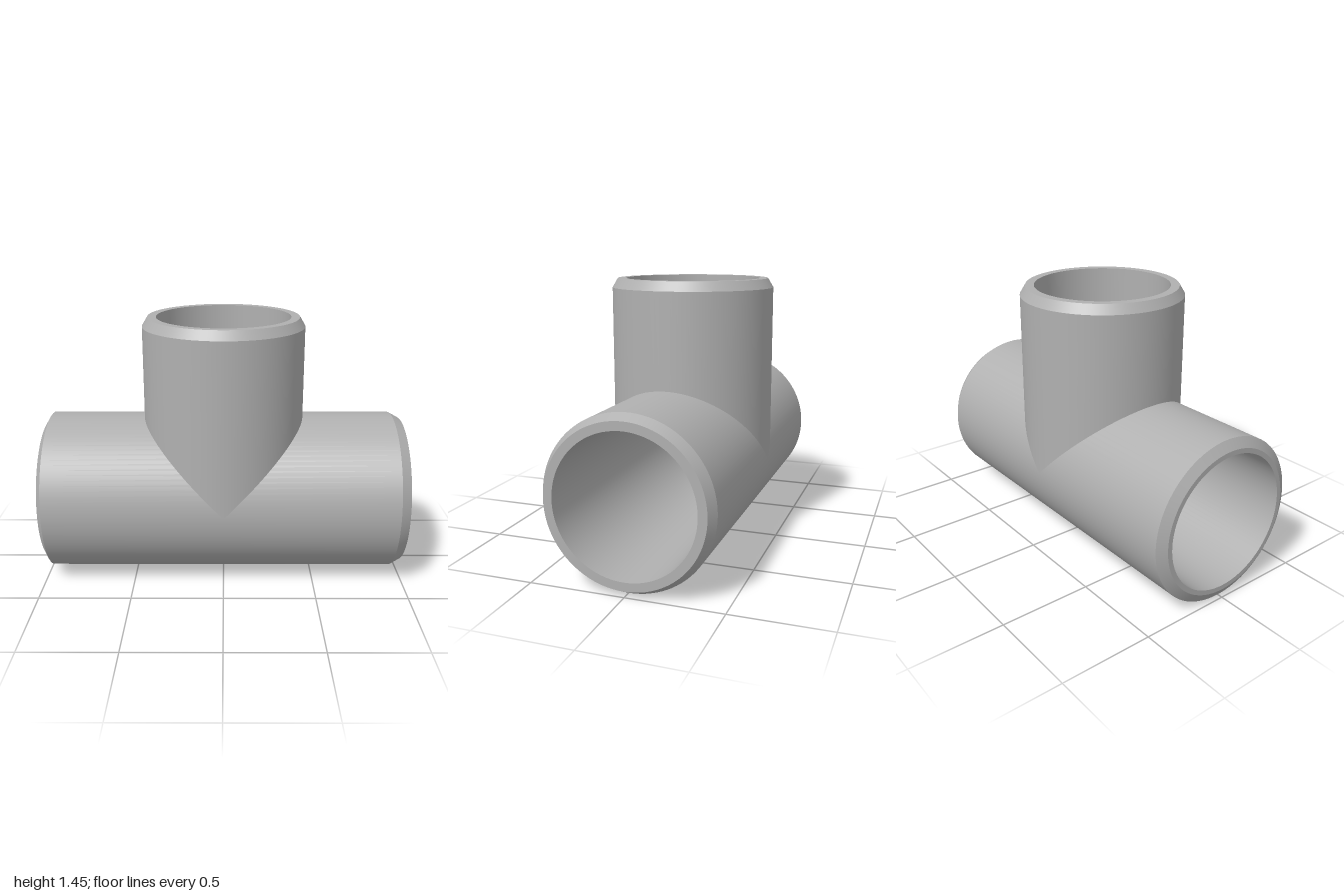
import * as THREE from 'three';
import { mergeGeometries } from 'three/addons/utils/BufferGeometryUtils.js';

const OUTER = 0.4425, INNER = 0.366, AXIS_Y = 0.4425, SIDES = 96;

// Revolve each profile segment on its own so the edges between bands stay crisp.
function crispLathe(profile) {
  const bands = [];
  for (let i = 0; i < profile.length - 1; i++) {
    const ends = [profile[i], profile[i + 1]].map(([r, y]) => new THREE.Vector2(r, y));
    bands.push(new THREE.LatheGeometry(ends, SIDES));
  }
  return mergeGeometries(bands);
}

export function createModel() {
  const group = new THREE.Group();
  const steel = new THREE.MeshStandardMaterial({ color: 0xb0b0b0 });
  steel.name = 'grey steel';

  // Horizontal pipe: outer wall, bevelled ends, flat rims and bore.
  const runGeometry = crispLathe([
    [INNER, -1], [0.392, -1], [OUTER, -0.97], [OUTER, 0.945],
    [0.412, 1], [INNER, 1], [INNER, -1],
  ]);
  runGeometry.rotateZ(-Math.PI / 2);
  const run = new THREE.Mesh(runGeometry, steel);
  run.name = 'runPipe';
  run.position.y = AXIS_Y;
  group.add(run);

  // Upright branch, measured from the run's axis.
  const branchGeometry = crispLathe([
    [OUTER, 0], [OUTER, 0.953], [0.413, 1.0025], [INNER, 1.0025], [INNER, 0],
  ]);
  // Lift the lower edge onto the run's curved surface to make the saddle joint.
  const p = branchGeometry.attributes.position;
  for (let i = 0; i < p.count; i++) {
    if (p.getY(i) < 0.001) {
      p.setY(i, Math.sqrt(Math.max(0, OUTER ** 2 - p.getZ(i) ** 2)));
    }
  }
  const branch = new THREE.Mesh(branchGeometry, steel);
  branch.name = 'branchPipe';
  branch.position.y = AXIS_Y;
  group.add(branch);

  return group;
}
